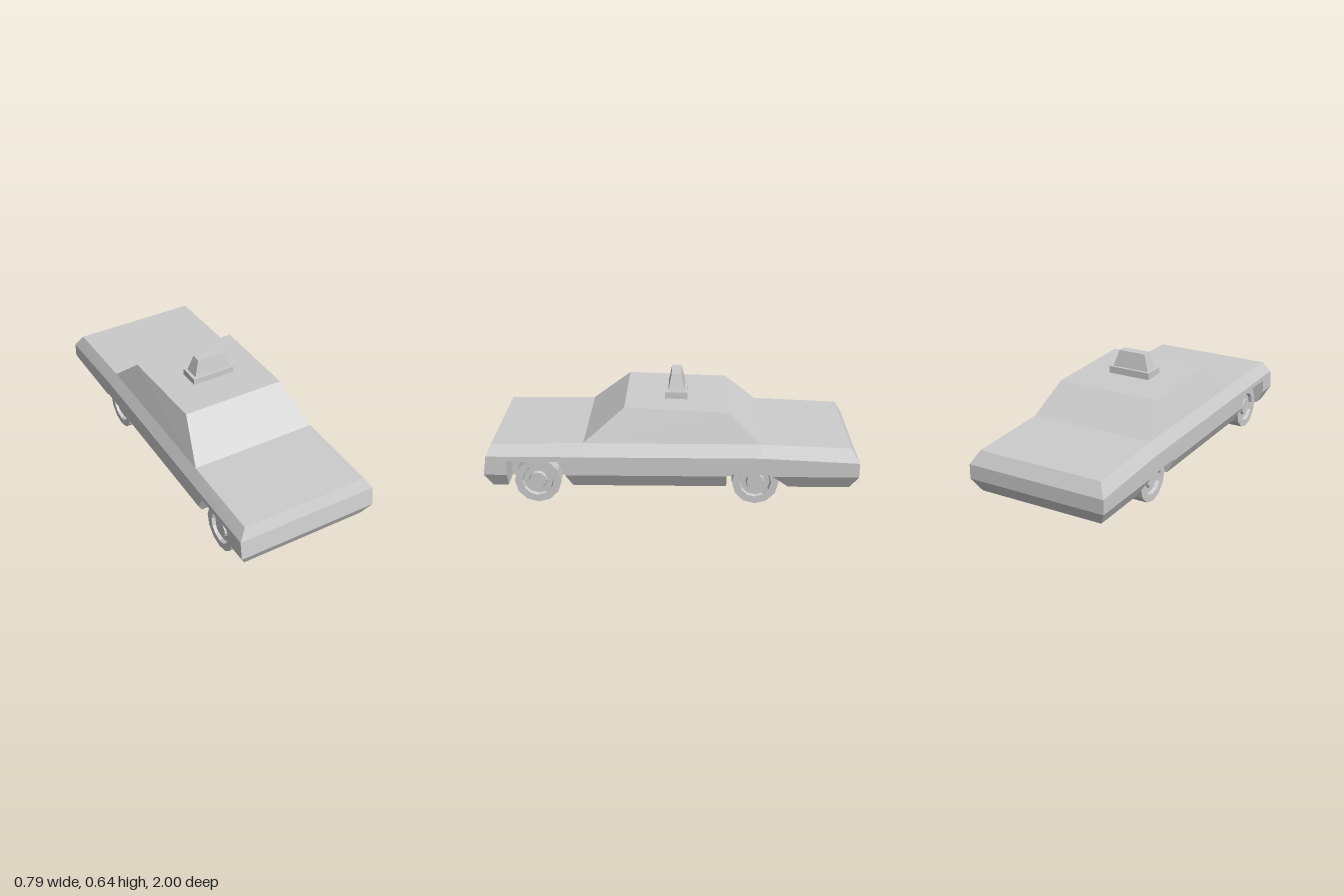
import * as THREE from 'three';

const material = new THREE.MeshStandardMaterial({ color: 0xcccccc, flatShading: true });

// Collects planar polygons; each is wound so that it faces the given direction.
function faceBuilder() {
  const positions = [];
  function face(points, facing) {
    const p = points.map((a) => new THREE.Vector3(...a));
    const out = new THREE.Vector3(...facing);
    const [ax, ay, az] = facing.map(Math.abs);
    const flat = p.map((v) => (ax >= ay && ax >= az ? new THREE.Vector2(v.z, v.y)
      : ay >= az ? new THREE.Vector2(v.x, v.z) : new THREE.Vector2(v.x, v.y)));
    if (THREE.ShapeUtils.isClockWise(flat)) { flat.reverse(); p.reverse(); }
    for (const [i, j, k] of THREE.ShapeUtils.triangulateShape(flat, [])) {
      const n = p[j].clone().sub(p[i]).cross(p[k].clone().sub(p[i]));
      const tri = n.dot(out) >= 0 ? [p[i], p[j], p[k]] : [p[i], p[k], p[j]];
      tri.forEach((v) => positions.push(v.x, v.y, v.z));
    }
  }
  function build(name) {
    const geometry = new THREE.BufferGeometry();
    geometry.setAttribute('position', new THREE.Float32BufferAttribute(positions, 3));
    geometry.computeVertexNormals();
    const mesh = new THREE.Mesh(geometry, material);
    mesh.name = name;
    return mesh;
  }
  return { face, build };
}

// Heights and half widths of the body's horizontal edges
const FLOOR = 0.1, SILL = 0.175, BELT = 0.28;
const NARROW = 0.357, WIDE = 0.397, WELL = 0.225;

// Wheel arches: upright front edge, flat top, sloping back edge
const arches = [
  { front: 0.877, top: 0.252, back: 0.605, foot: 0.527 },
  { front: -0.297, top: 0.185, back: -0.53, foot: -0.63 },
];
const slopeAt = (a, y) => a.foot + (a.back - a.foot) * (y - FLOOR) / (a.top - FLOOR);

// Front, rear and roof line as [z, y] points
const nose = [[0.96, FLOOR], [1, SILL], [0.985, BELT], [0.957, 0.34]];
const tail = [[-0.957, FLOOR], [-1, SILL], [-1, 0.255], [-0.957, 0.325]];
const levels = [NARROW, WIDE, WIDE, NARROW];
const roofLine = [[0.957, 0.34, NARROW], [0.467, 0.345, NARROW], [0.25, 0.525, 0.292],
  [-0.305, 0.502, 0.302], [-0.48, 0.345, NARROW], [-0.957, 0.325, NARROW]];

function createBody() {
  const { face, build } = faceBuilder();

  // Nose and tail bands
  for (const [end, dir] of [[nose, 1], [tail, -1]]) {
    for (let i = 0; i < 3; i++) {
      const [[z0, y0], [z1, y1]] = [end[i], end[i + 1]];
      const [w0, w1] = [levels[i], levels[i + 1]];
      face([[-w0, y0, z0], [w0, y0, z0], [w1, y1, z1], [-w1, y1, z1]], [0, 0, dir]);
    }
  }

  // Hood, windscreen, roof, rear window and trunk
  for (let i = 0; i < roofLine.length - 1; i++) {
    const [[z0, y0, w0], [z1, y1, w1]] = [roofLine[i], roofLine[i + 1]];
    face([[-w0, y0, z0], [w0, y0, z0], [w1, y1, z1], [-w1, y1, z1]], [0, 1, 0]);
  }

  // Floor with notches for the wheel wells
  const edge = [[NARROW, FLOOR, nose[0][0]]];
  for (const a of arches) {
    edge.push([NARROW, FLOOR, a.front], [WELL, FLOOR, a.front],
      [WELL, FLOOR, a.foot], [NARROW, FLOOR, a.foot]);
  }
  edge.push([NARROW, FLOOR, tail[0][0]]);
  face([...edge, ...edge.map(([x, y, z]) => [-x, y, z]).reverse()], [0, -1, 0]);

  for (const s of [1, -1]) {
    const side = (pts, facing = [s, 0, 0]) => face(pts.map(([z, y, w]) => [s * w, y, z]), facing);

    // Sill pieces between the arches
    const starts = [nose, ...arches.map((a) => [[a.foot, FLOOR], [slopeAt(a, SILL), SILL]])];
    const ends = [...arches.map((a) => [[a.front, FLOOR], [a.front, SILL]]), tail];
    starts.forEach((b, i) => {
      const e = ends[i];
      side([[...b[0], NARROW], [...b[1], WIDE], [...e[1], WIDE], [...e[0], NARROW]]);
    });

    // Door band with the arch tops cut out
    const band = [[...nose[1], WIDE]];
    for (const a of arches) {
      band.push([a.front, SILL, WIDE], [a.front, a.top, WIDE],
        [a.back, a.top, WIDE], [slopeAt(a, SILL), SILL, WIDE]);
    }
    band.push([...tail[1], WIDE], [...tail[2], WIDE], [-0.48, BELT, WIDE], [...nose[2], WIDE]);
    side(band);

    // Shoulder and cabin side
    side([[...nose[2], WIDE], roofLine[0], roofLine[1], [0.467, BELT, WIDE]]);
    side([[0.467, BELT, WIDE], roofLine[1], roofLine[4], [-0.48, BELT, WIDE]]);
    side([[-0.48, BELT, WIDE], roofLine[4], roofLine[5], [...tail[2], WIDE]]);
    side([roofLine[1], roofLine[2], roofLine[3], roofLine[4]]);

    // Wheel wells
    for (const a of arches) {
      const { front, top, back, foot } = a;
      side([[front, FLOOR, WELL], [front, top, WELL], [back, top, WELL], [foot, FLOOR, WELL]]);
      side([[front, top, WELL], [front, top, WIDE], [back, top, WIDE], [back, top, WELL]], [0, -1, 0]);
      side([[front, FLOOR, WELL], [front, FLOOR, NARROW], [front, SILL, WIDE],
        [front, top, WIDE], [front, top, WELL]], [0, 0, -1]);
      side([[foot, FLOOR, WELL], [foot, FLOOR, NARROW], [slopeAt(a, SILL), SILL, WIDE],
        [back, top, WIDE], [back, top, WELL]], [0, 0, 1]);
    }
  }
  return build('body');
}

// Tyre with a recessed rim and a raised hub, outer side towards +x
function createWheel(name) {
  const profile = [[0, -0.04], [0.125, -0.04], [0.125, 0.04], [0.085, 0.04], [0.08, 0.02],
    [0.05, 0.02], [0.045, 0.036], [0, 0.036]].map(([r, h]) => new THREE.Vector2(r, h));
  const geometry = new THREE.LatheGeometry(profile, 12).rotateZ(-Math.PI / 2);
  const wheel = new THREE.Mesh(geometry, material);
  wheel.name = name;
  return wheel;
}

// Roof sign: flat base with a tapered lamp box
function createRoofSign() {
  const sign = new THREE.Group();
  sign.name = 'roofSign';
  const base = new THREE.Mesh(new THREE.BoxGeometry(0.25, 0.045, 0.122), material);
  base.name = 'signBase';
  base.position.set(0, 0.5275, -0.025);
  const geometry = new THREE.BoxGeometry(0.216, 0.092, 0.09);
  const p = geometry.attributes.position;
  for (let i = 0; i < p.count; i++) {
    if (p.getY(i) > 0) p.setXYZ(i, p.getX(i) * 0.74, p.getY(i), p.getZ(i) * 0.6);
  }
  geometry.computeVertexNormals();
  const lamp = new THREE.Mesh(geometry, material);
  lamp.name = 'signLamp';
  lamp.position.set(0, 0.595, -0.025);
  sign.add(base, lamp);
  return sign;
}

export function createModel() {
  const car = new THREE.Group();
  car.name = 'car';
  car.add(createBody(), createRoofSign());
  for (const [end, z] of [['front', 0.718], ['rear', -0.452]]) {
    for (const [sideName, s] of [['Left', 1], ['Right', -1]]) {
      const wheel = createWheel(`${end}${sideName}Wheel`);
      wheel.position.set(s * 0.318, 0.125, z);
      if (s < 0) wheel.rotation.y = Math.PI;
      car.add(wheel);
    }
  }
  return car;
}
